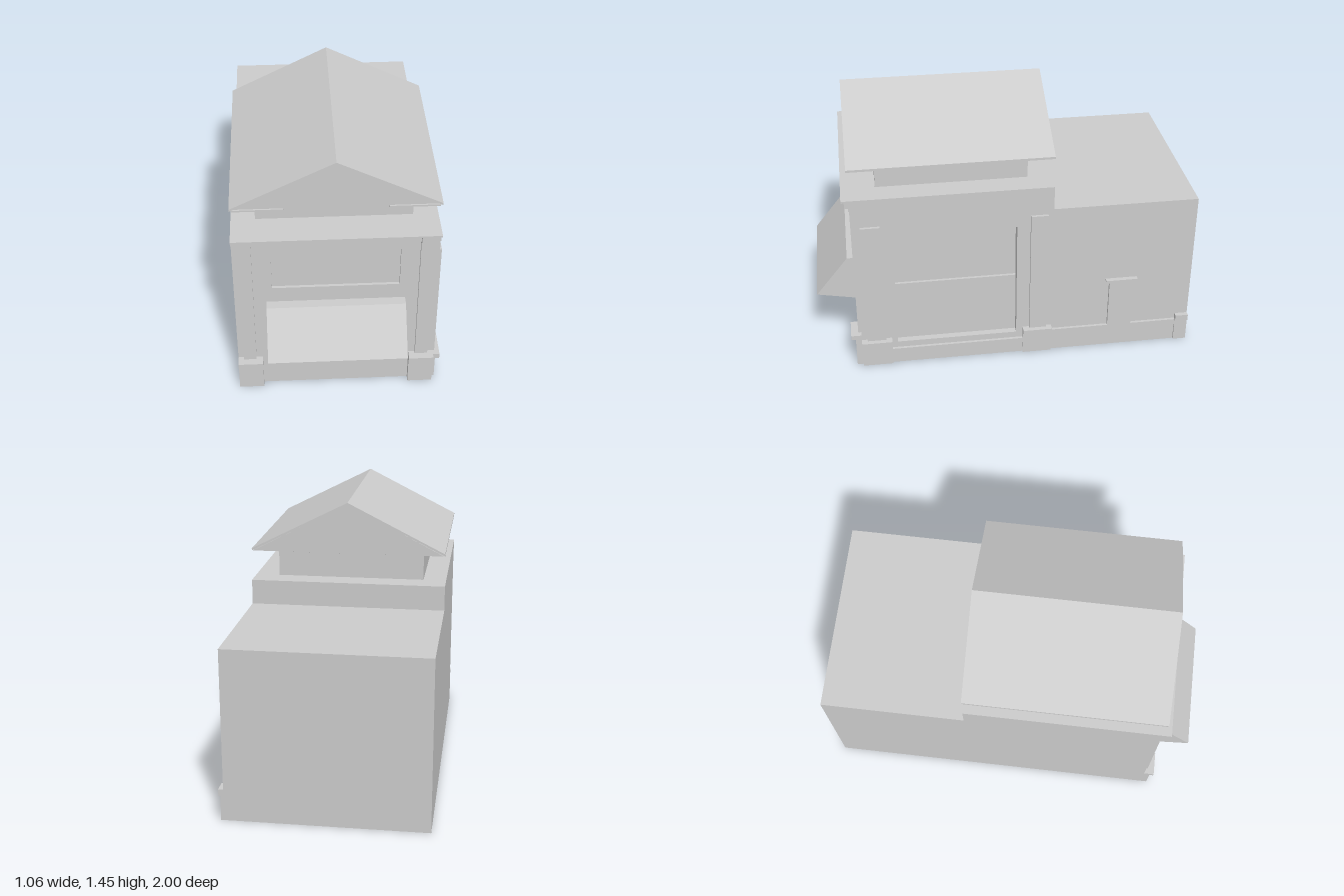
import * as THREE from 'three';

const mat = new THREE.MeshStandardMaterial({ color: 0xcccccc, flatShading: true, side: THREE.DoubleSide });

export function createModel() {
  const model = new THREE.Group();
  const add = (name, geo) => {
    const m = new THREE.Mesh(geo, mat);
    m.name = name;
    model.add(m);
    return m;
  };
  // Box given by its limits
  const box = (name, x0, x1, y0, y1, z0, z1) =>
    add(name, new THREE.BoxGeometry(x1 - x0, y1 - y0, z1 - z0)
      .translate((x0 + x1) / 2, (y0 + y1) / 2, (z0 + z1) / 2));
  const poly = (pts) => new THREE.Shape(pts.map((p) => new THREE.Vector2(p[0], p[1])));
  const rect = (a0, a1, b0, b1) => [[a0, b0], [a1, b0], [a1, b1], [a0, b1]];
  // Outline in (x, y), extruded from z0 to z1
  const alongZ = (shape, z0, z1) =>
    new THREE.ExtrudeGeometry(shape, { depth: z1 - z0, bevelEnabled: false }).translate(0, 0, z0);
  // Outline in (-z, y), extruded from x0 to x1
  const alongX = (shape, x0, x1) =>
    new THREE.ExtrudeGeometry(shape, { depth: x1 - x0, bevelEnabled: false })
      .rotateY(Math.PI / 2).translate(x0, 0, 0);

  const L = -0.53, R = 0.49, F = 0.78, MID = -0.02;

  // Main blocks
  box('frontBlockCore', L, R - 0.05, 0, 1.02, -0.24, F - 0.015);
  box('rearBlock', L, R, 0, 0.89, -1, -0.24);

  // Front wall with recessed sign panel
  const front = poly(rect(L, R, 0, 1.02));
  front.holes.push(poly(rect(-0.34, 0.3, 0.67, 0.9)));
  add('frontWall', alongZ(front, F - 0.015, F));

  // Side wall with a tall window opening
  const side = poly(rect(-F + 0.015, 0.24, 0, 1.02));
  side.holes.push(poly(rect(-0.59, 0.05, 0.13, 0.8)));
  add('sideWall', alongX(side, R - 0.05, R));
  box('lowerSash', R - 0.05, R - 0.035, 0.13, 0.48, -0.05, 0.59);

  // Front cornice
  box('corniceSlab', L, R, 1.01, 1.02, F, 0.835);
  box('frieze', L, R, 0.96, 1.01, F, 0.8);

  // Front corner pilasters with bases
  for (const s of [-1, 1]) {
    const span = (a, b) => [MID + s * a, MID + s * b].sort((p, q) => p - q);
    const shaft = span(0.415, 0.48), base = span(0.382, 0.51);
    box('frontPilaster', ...shaft, 0.19, 0.96, F, 0.797);
    box('frontBracket', ...shaft, 0.96, 1.01, F, 0.82);
    box('frontBase', ...base, 0, 0.165, F, 0.812);
    box('frontBaseCap', ...base, 0.165, 0.19, F, 0.835);
  }

  // Sloping awning box
  add('awning', alongX(poly([[-F, 0.322], [-F, 0.58], [-0.83, 0.58], [-1, 0.365]]), -0.37, 0.33));

  // Side pilasters with bases
  for (const [s0, s1, b0, b1] of [[0.65, 0.75, 0.62, 0.78], [-0.21, -0.12, -0.24, -0.085]]) {
    box('sidePilaster', R, 0.505, 0.16, 0.862, s0, s1);
    box('sideBase', R, 0.507, 0, 0.13, b0, b1);
    box('sideBaseCap', R, 0.53, 0.13, 0.16, b0, b1);
  }
  // Skirting below the window
  box('windowSkirt', R, 0.496, 0, 0.065, -0.085, 0.62);
  box('windowSkirtBand', R, 0.505, 0.065, 0.095, -0.085, 0.62);

  // Skirting and short pillar on the rear block
  box('rearSkirt', R, 0.496, 0, 0.1, -0.93, -0.24);
  box('rearSkirtBand', R, 0.505, 0.1, 0.135, -0.93, -0.24);
  box('shortPillar', R, 0.505, 0.135, 0.38, -0.68, -0.55);
  add('shortPillarCapital', alongX(poly([[0.55, 0.38], [0.68, 0.38], [0.68, 0.41],
    [0.698, 0.425], [0.532, 0.425], [0.55, 0.41]]), R, 0.509));
  box('shortPillarTop', R, 0.515, 0.425, 0.433, -0.7, -0.53);
  box('rearCornerBase', R, 0.505, 0, 0.13, -1, -0.93);
  box('rearCornerCap', R, 0.515, 0.13, 0.165, -1, -0.93);

  // Roof neck
  box('roofNeck', -0.41, 0.365, 1.02, 1.175, -0.12, 0.66);

  // Soffit: thin slab narrowing downwards
  const soffit = new THREE.BoxGeometry(1.0, 0.01, 1.02);
  const p = soffit.attributes.position;
  for (let i = 0; i < p.count; i++) {
    if (p.getY(i) < 0) p.setXYZ(i, p.getX(i) * 0.8, p.getY(i), p.getZ(i) * 0.94);
  }
  add('soffit', soffit.translate(MID, 1.175, 0.28));

  // Gable infill and roof slopes
  const h = 0.507;
  add('gable', alongZ(poly([[MID - h + 0.005, 1.18], [MID + h - 0.005, 1.18], [MID, 1.437]]), -0.239, 0.79));
  add('roofSlopes', alongZ(poly([[MID - h, 1.18], [MID, 1.435], [MID + h, 1.18],
    [MID + h, 1.192], [MID, 1.447], [MID - h, 1.192]]), -0.24, 0.8));
  // Short eave returns at the foot of the front gable
  for (const s of [-1, 1]) {
    const x = [MID + s * 0.25, MID + s * 0.495].sort((a, b) => a - b);
    box('eaveReturn', ...x, 1.175, 1.184, 0.78, 0.798);
  }
  return model;
}
